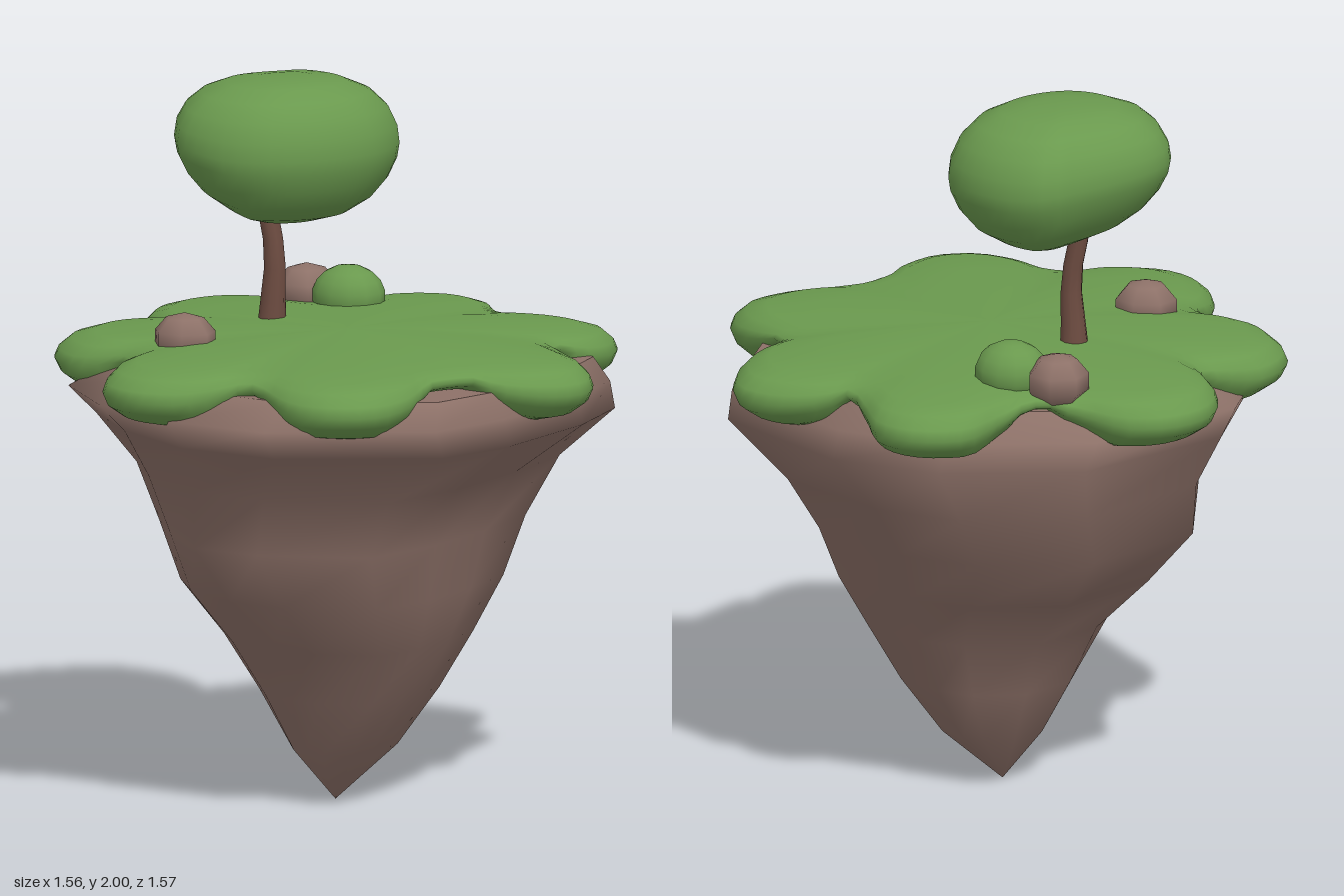
import * as THREE from 'three';

const paint = (name, color) => {
  const m = new THREE.MeshStandardMaterial({ color });
  m.name = name;
  return m;
};

// Skin closed rings of points, listed bottom to top, with smooth normals
function loft(rings) {
  const n = rings[0].length, index = [];
  for (let i = 0; i < rings.length - 1; i++) {
    for (let j = 0; j < n; j++) {
      const k = (j + 1) % n, a = i * n + j, b = i * n + k;
      index.push(a, a + n, b, b, a + n, b + n);
    }
  }
  const g = new THREE.BufferGeometry();
  g.setAttribute('position', new THREE.Float32BufferAttribute(rings.flat(2), 3));
  g.setIndex(index);
  g.computeVertexNormals();
  return g;
}

// Smooth closed outline through [x, z] points
function outline(points, samples) {
  const curve = new THREE.CatmullRomCurve3(
    points.map(([x, z]) => new THREE.Vector3(x, 0, z)), true);
  return curve.getSpacedPoints(samples).slice(0, samples).map(p => [p.x, p.z]);
}

export function createModel() {
  const grass = paint('grass green', 0x6a994e);
  const stone = paint('stone brown', 0x8d7168);
  const bark = paint('bark brown', 0x6d4c41);
  const model = new THREE.Group();
  const add = (name, geometry, material) => {
    const mesh = new THREE.Mesh(geometry, material);
    mesh.name = name;
    model.add(mesh);
    return mesh;
  };

  // Rock: one plan for the body and one for the rim, stretched to the
  // extents of each level; "corner" pulls the front right-hand corner in or out
  const bodyPlan = [
    [1, -0.25], [1, 0.25], [0.9, 0.74], [0.32, 1], [-0.1, 1], [-0.54, 0.8],
    [-0.82, 0.5], [-1, 0], [-0.73, -0.7], [-0.16, -1], [0.32, -1], [0.94, -0.74],
  ];
  const rimPlan = [
    [1, -0.3], [1, 0.25], [0.91, 0.62], [0.34, 1], [-0.11, 1], [-0.53, 0.85],
    [-0.85, 0.57], [-1, -0.05], [-0.69, -0.7], [-0.16, -0.97], [0.31, -0.98], [0.92, -0.67],
  ];
  const levels = [ // y, left, right, back, front, corner
    [0, -0.03, -0.03, 0.01, 0.01, 1],
    [0.15, -0.15, 0.11, -0.14, 0.16, 1],
    [0.31, -0.24, 0.21, -0.23, 0.23, 1.05],
    [0.47, -0.31, 0.3, -0.29, 0.33, 1.1],
    [0.62, -0.46, 0.36, -0.39, 0.46, 1],
    [0.78, -0.6, 0.39, -0.49, 0.545, 0.86],
    [0.94, -0.63, 0.45, -0.59, 0.56, 0.97],
    [1.09, -0.71, 0.65, -0.67, 0.69, 0.95],
    [1.17, -0.74, 0.65, -0.65, 0.73, 1],
    [1.24, -0.62, 0.61, -0.59, 0.63, 1],
  ];
  const rockRings = levels.map(([y, l, r, b, f, corner]) => (y < 1 ? bodyPlan : rimPlan).map(([x, z], i) => {
    const c = i === 5 || i === 6 ? corner : 1;
    return [(l + r) / 2 + c * x * (r - l) / 2, y, (b + f) / 2 + c * z * (f - b) / 2];
  }));
  add('rock', loft(rockRings), stone);
  const rim = rockRings[rockRings.length - 1];
  add('rockTop', loft([rim, rim.map(() => [0, 1.24, 0])]), stone);

  // Grass: lobed blanket that thickens and droops at the lobes
  const edge = outline([
    [-0.12, -0.79], [0, -0.76], [0.08, -0.67], [0.16, -0.6], [0.25, -0.64], [0.36, -0.66],
    [0.48, -0.63], [0.55, -0.5], [0.55, -0.4], [0.51, -0.28], [0.62, -0.2], [0.73, -0.12],
    [0.78, 0], [0.74, 0.1], [0.66, 0.18], [0.55, 0.24], [0.5, 0.35], [0.51, 0.5],
    [0.47, 0.63], [0.36, 0.7], [0.24, 0.69], [0.1, 0.62], [0.04, 0.63], [-0.06, 0.74],
    [-0.2, 0.785], [-0.33, 0.73], [-0.4, 0.6], [-0.41, 0.49], [-0.48, 0.43], [-0.63, 0.43],
    [-0.74, 0.34], [-0.78, 0.25], [-0.77, 0.14], [-0.7, 0.05], [-0.65, -0.01], [-0.74, -0.11],
    [-0.775, -0.25], [-0.72, -0.38], [-0.61, -0.44], [-0.48, -0.45], [-0.36, -0.49],
    [-0.3, -0.6], [-0.25, -0.72],
  ], 120);
  const lip = [ // scale, height across the thickness
    [0.65, -0.3], [0.83, -1], [0.92, -0.8], [0.98, -0.4], [1, 0],
    [0.985, 0.35], [0.94, 0.72], [0.86, 0.95],
  ];
  const grassRings = lip.map(([s, k]) => edge.map(([x, z]) => {
    const lobe = Math.sqrt(THREE.MathUtils.clamp((Math.hypot(x, z) - 0.62) / 0.14, 0, 1));
    return [x * s, 1.27 - 0.048 * lobe + k * (0.033 + 0.049 * lobe), z * s];
  }));
  for (const [s, y] of [[0.65, 1.313], [0.35, 1.322], [0, 1.326]]) {
    grassRings.push(edge.map(([x, z]) => [x * s, y, z * s]));
  }
  add('grassTop', loft(grassRings), grass);

  // Tree trunk: tapered along a gentle bend
  const trunk = [[-0.277, 1.28, 0.041], [-0.272, 1.37, 0.035], [-0.266, 1.46, 0.03],
    [-0.272, 1.54, 0.028], [-0.287, 1.61, 0.028], [-0.295, 1.68, 0.027]];
  add('trunk', loft(trunk.map(([x, y, r]) => Array.from({ length: 10 }, (_, i) => {
    const a = i * Math.PI / 5;
    return [x + r * Math.cos(a), y, -0.05 + r * Math.sin(a)];
  }))), bark);

  // Tree crown: bean-shaped plan, flat top, underside raised towards one end
  const bean = outline([
    [-0.225, -0.364], [-0.09, -0.332], [0.015, -0.25], [0.052, -0.125], [0.045, -0.04],
    [-0.02, 0.105], [-0.14, 0.22], [-0.27, 0.25], [-0.41, 0.213], [-0.462, 0.158],
    [-0.51, 0.08], [-0.53, 0.01], [-0.51, -0.09], [-0.45, -0.195], [-0.385, -0.277], [-0.33, -0.345],
  ], 40);
  const crownProfile = [ // scale, height
    [0, -1], [0.3, -0.98], [0.55, -0.88], [0.76, -0.68], [0.9, -0.42], [0.98, -0.15], [1, 0.05],
    [0.98, 0.3], [0.9, 0.57], [0.75, 0.8], [0.53, 0.95], [0.27, 1], [0, 1],
  ];
  add('crown', loft(crownProfile.map(([s, h]) => bean.map(([x, z]) => {
    const px = -0.23 + (x + 0.23) * s, pz = -0.05 + (z + 0.05) * s;
    const lift = Math.max(0, -0.24 - px) * 0.13 * (1 - h);
    return [px, 1.8 + 0.2 * h + lift, pz];
  }))), grass);

  // Small stones and a bush
  const lump = (name, material, sides, position, scale, turn) => {
    const mesh = add(name, new THREE.SphereGeometry(1, sides, sides * 0.75), material);
    mesh.position.set(...position);
    mesh.scale.set(...scale);
    mesh.rotation.y = turn;
  };
  lump('frontStone', stone, 7, [-0.32, 1.315, 0.33], [0.092, 0.076, 0.08], 0.2);
  lump('backStone', stone, 7, [-0.39, 1.325, -0.41], [0.09, 0.078, 0.09], 0.4);
  lump('bush', grass, 12, [-0.243, 1.328, -0.395], [0.105, 0.087, 0.095], 0);

  return model;
}
